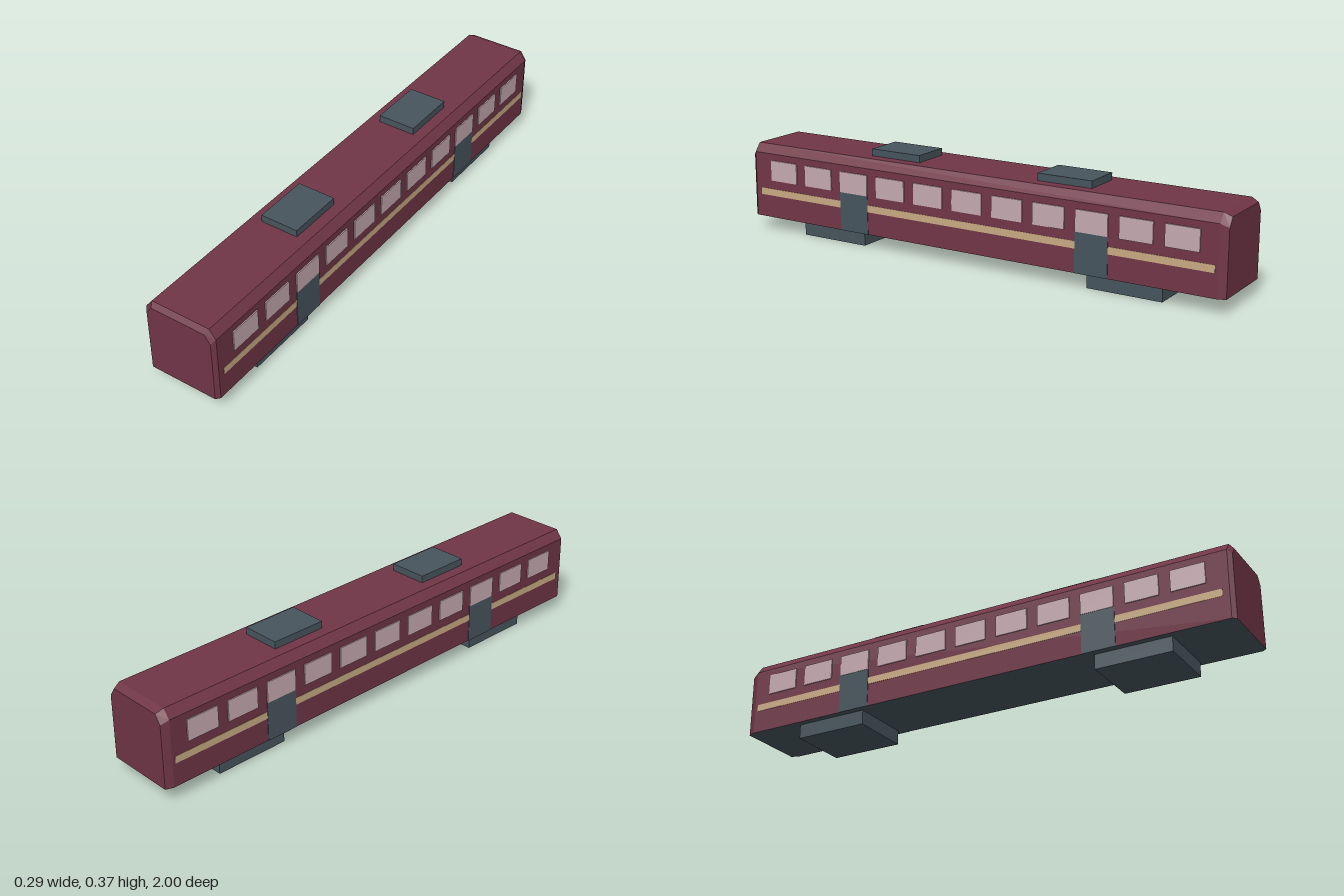
import * as THREE from 'three';

const mat = (name, color) => new THREE.MeshStandardMaterial({ name, color });

export function createModel() {
  const group = new THREE.Group();
  const maroon = mat('maroon', 0x703547);
  const slate = mat('slate', 0x46545c);
  const glass = mat('paleGlass', 0xc4a9b0);
  const tan = mat('tan', 0xc9aa83);

  const box = (name, w, h, d, x, y, z, material) => {
    const mesh = new THREE.Mesh(new THREE.BoxGeometry(w, h, d), material);
    mesh.name = name;
    mesh.position.set(x, y, z);
    group.add(mesh);
  };

  // Carriage shell: six-sided cross-sections, narrowed at both ends
  const section = (z, half, shoulder, roofHalf, roof) => [
    [half, 0.055], [half - 0.001, shoulder], [roofHalf, roof],
    [-roofHalf, roof], [-half + 0.001, shoulder], [-half, 0.055],
  ].map(([x, y]) => [x, y, z]);
  const sections = [
    section(-1, 0.132, 0.297, 0.109, 0.33),
    section(-0.972, 0.1435, 0.31, 0.117, 0.343),
    section(0.985, 0.1435, 0.31, 0.117, 0.343),
    section(1, 0.132, 0.295, 0.109, 0.326),
  ];
  const shell = [], floor = [];
  for (let s = 0; s < 3; s++) {
    const a = sections[s], b = sections[s + 1];
    for (let i = 0; i < 6; i++) {
      const j = (i + 1) % 6;
      (i === 5 ? floor : shell).push(a[i], a[j], b[j], a[i], b[j], b[i]);
    }
  }
  // Flat end walls
  for (let i = 1; i < 5; i++) {
    const back = sections[0], front = sections[3];
    shell.push(front[0], front[i], front[i + 1], back[0], back[i + 1], back[i]);
  }
  const surface = (name, points, material) => {
    const geometry = new THREE.BufferGeometry();
    geometry.setAttribute('position', new THREE.Float32BufferAttribute(points.flat(), 3));
    geometry.computeVertexNormals();
    const mesh = new THREE.Mesh(geometry, material);
    mesh.name = name;
    group.add(mesh);
  };
  surface('carriageShell', shell, maroon);
  surface('underside', floor, slate);

  // Windows, stripe and doors, mirrored on both sides
  for (const side of [1, -1]) {
    for (let i = -5; i <= 5; i++) {
      box('window', 0.009, 0.08, 0.126, side * 0.1425, 0.244, i * 0.1686, glass);
    }
    box('stripe', 0.005, 0.027, 1.92, side * 0.1418, 0.156, 0, tan);
    for (const z of [0.506, -0.506]) {
      box('door', 0.006, 0.15, 0.128, side * 0.1423, 0.13, z, slate);
    }
  }

  // Bogies below and equipment boxes on the roof
  for (const end of [1, -1]) {
    box('bogie', 0.238, 0.055, 0.288, 0, 0.0275, end * 0.622, slate);
    box('roofUnit', 0.148, 0.03, 0.216, 0, 0.355, end * 0.36, slate);
  }
  return group;
}
